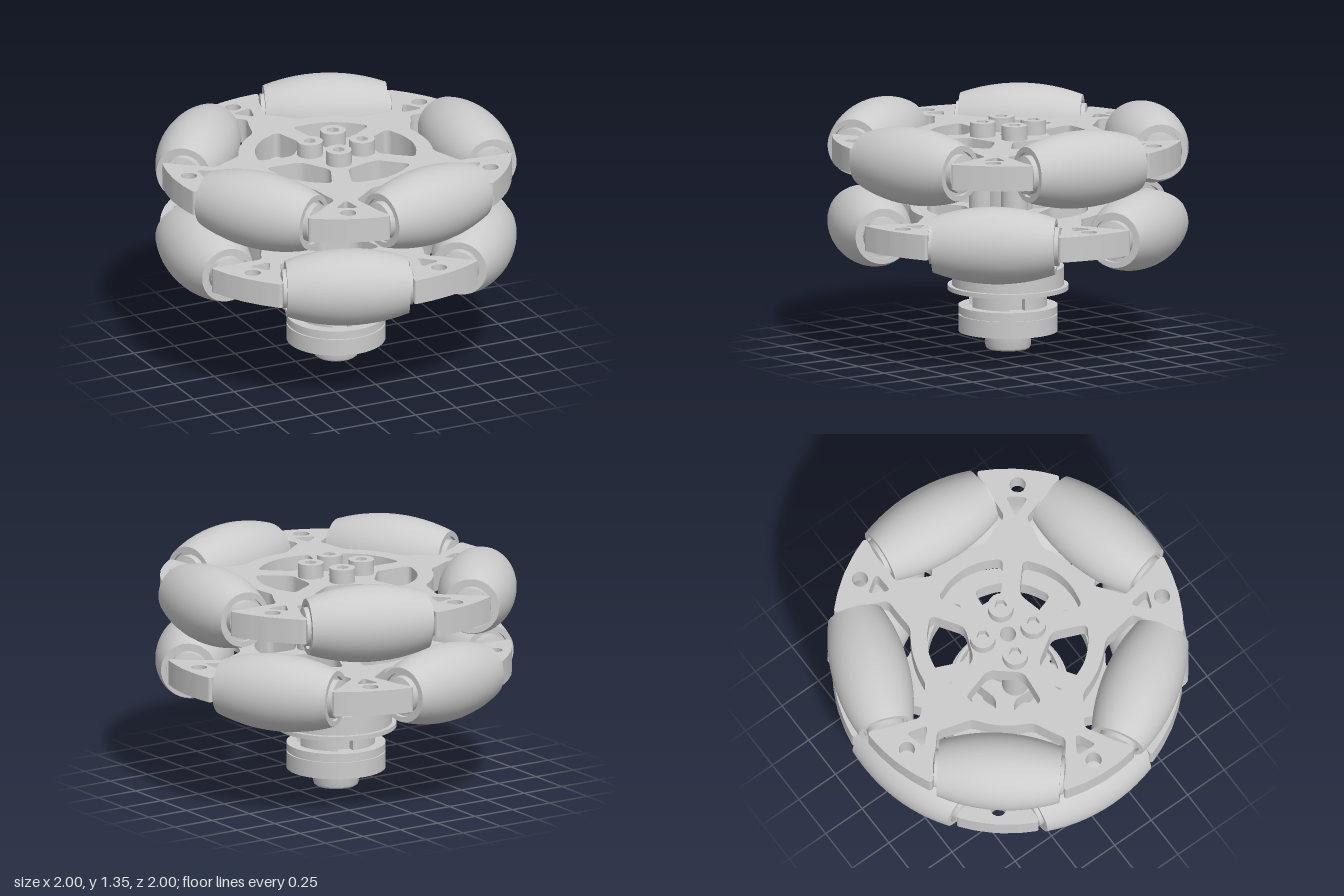
import * as THREE from 'three';
import { toCreasedNormals } from 'three/addons/utils/BufferGeometryUtils.js';

const grey = new THREE.MeshStandardMaterial({ color: 0xcccccc });
const RAD = Math.PI / 180;
const STEP = 72 * RAD;
const V = (x, y) => new THREE.Vector2(x, y);
const polar = (r, a) => V(r * Math.cos(a), r * Math.sin(a));

function add(parent, name, geometry, x = 0, y = 0, z = 0) {
  const mesh = new THREE.Mesh(geometry, grey);
  mesh.name = name;
  mesh.position.set(x, y, z);
  parent.add(mesh);
  return mesh;
}

const turned = (pts, segs = 48) =>
  toCreasedNormals(new THREE.LatheGeometry(pts.map(p => V(p[0], p[1])), segs), 0.5);

// Closed path through points with rounded corners
function rounded(path, pts, radius) {
  const n = pts.length;
  pts.forEach((p, i) => {
    const prev = pts[(i + n - 1) % n], next = pts[(i + 1) % n];
    const toward = q => {
      const d = q.clone().sub(p);
      return p.clone().addScaledVector(d, Math.min(radius / d.length(), 0.45));
    };
    const a = toward(prev), b = toward(next);
    if (i === 0) path.moveTo(a.x, a.y); else path.lineTo(a.x, a.y);
    path.quadraticCurveTo(p.x, p.y, b.x, b.y);
  });
  path.closePath();
  return path;
}

function circleHole(x, y, r) {
  const p = new THREE.Path();
  p.absarc(x, y, r, 0, Math.PI * 2, true);
  return p;
}

// Extrude a plan shape vertically, centred on y = 0
function slab(shape, height) {
  const g = new THREE.ExtrudeGeometry(shape, { depth: height, bevelEnabled: false, curveSegments: 8 });
  g.rotateX(Math.PI / 2);
  g.translate(0, height / 2, 0);
  return toCreasedNormals(g, 0.5);
}

// Five-armed frame with flared roller supports, ring and open spokes
function frameGeometry() {
  const half = [[0.515, 0.165], [0.62, 0.105], [0.69, 0.06], [0.945, 0.238], [0.967, 0.12]];
  const arm = [...half.map(([x, y]) => [x, -y]), [0.975, 0], ...half.slice().reverse()];
  const windowPts = [[0.22, -0.1], [0.39, -0.215], [0.44, -0.1], [0.455, 0],
    [0.44, 0.1], [0.39, 0.215], [0.22, 0.1]];
  const turn = (list, a) => list.map(([x, y]) => V(x, y).rotateAround(V(0, 0), a));
  const outline = [], holes = [circleHole(0, 0, 0.045)];
  for (let k = 0; k < 5; k++) {
    const a = k * STEP;
    outline.push(...turn(arm, a));
    for (let d = 24; d <= 48; d += 6) outline.push(polar(0.54, a + d * RAD));
    holes.push(rounded(new THREE.Path(), turn(windowPts, a + STEP / 2), 0.04));
    holes.push(rounded(new THREE.Path(), turn([[0.81, -0.065], [0.81, 0.065], [0.695, 0]], a), 0.035));
    const c = polar(0.88, a);
    holes.push(circleHole(c.x, c.y, 0.045));
  }
  const shape = rounded(new THREE.Shape(), outline, 0.03);
  shape.holes = holes;
  return slab(shape, 0.14);
}

// Barrel whose side follows the unit circle of the wheel, with recessed ends
function rollerGeometry() {
  const L = 0.34, pts = [[0.03, -L + 0.02], [0.125, -L + 0.02], [0.125, -L]];
  for (let i = 0; i <= 12; i++) {
    const t = -L + (2 * L * i) / 12;
    pts.push([0.215 - (1 - Math.sqrt(1 - t * t)), t]);
  }
  pts.push([0.125, L], [0.125, L - 0.02], [0.03, L - 0.02]);
  return turned(pts, 40);
}

// Hexagon-socket cap head
function screwHead() {
  const s = new THREE.Shape();
  s.absarc(0, 0, 0.072, 0, Math.PI * 2);
  const hex = [];
  for (let i = 0; i < 6; i++) hex.push(polar(0.036, -i * 60 * RAD));
  s.holes.push(new THREE.Path(hex));
  return slab(s, 0.08);
}

// Lower hub sleeve with four grooves for the screw shafts
function sleeveGeometry(angles) {
  const s = new THREE.Shape(), pts = [];
  angles.forEach(a => {
    const c = polar(0.155, a);
    for (let i = 0; i <= 8; i++) pts.push(c.clone().add(polar(0.04, a - (100 + i * 20) * RAD)));
    for (let d = 22; d <= 68; d += 7.5) pts.push(polar(0.18, a + d * RAD));
  });
  s.setFromPoints(pts);
  s.holes.push(circleHole(0, 0, 0.045));
  return slab(s, 0.2);
}

export function createModel() {
  const model = new THREE.Group();
  model.name = 'omniWheel';
  const frame = frameGeometry(), roller = rollerGeometry();
  const bush = turned([[0.03, -0.375], [0.108, -0.36], [0.108, -0.315], [0.03, -0.315]], 28);

  // Two staggered roller wheels
  [['upperWheel', 1.13, 39.7], ['lowerWheel', 0.72, 3.7]].forEach(([name, y, deg]) => {
    const wheel = new THREE.Group();
    wheel.name = name;
    wheel.position.y = y;
    wheel.rotation.y = -deg * RAD;
    model.add(wheel);
    add(wheel, 'frame', frame);
    for (let k = 0; k < 5; k++) {
      const unit = new THREE.Group();
      unit.name = 'rollerUnit';
      unit.rotation.y = -(k + 0.5) * STEP;
      wheel.add(unit);
      add(unit, 'roller', roller, 0.785).rotation.x = Math.PI / 2;
      add(unit, 'axle', new THREE.CylinderGeometry(0.035, 0.035, 0.78, 16), 0.785).rotation.x = Math.PI / 2;
      [1, -1].forEach(s => {
        add(unit, 'bush', bush, 0.785).rotation.x = s * Math.PI / 2;
      });
    }
  });

  // Four clamping screws and lobed spacer between the wheels
  const angles = [0, 1, 2, 3].map(i => (-70 + i * 90) * RAD);
  const head = screwHead();
  angles.forEach(a => {
    const p = polar(0.145, a);
    add(model, 'screwHead', head, p.x, 1.24, p.y);
    add(model, 'screwSocketFloor', new THREE.CylinderGeometry(0.04, 0.04, 0.02, 12), p.x, 1.21, p.y);
    add(model, 'screwShaft', new THREE.CylinderGeometry(0.03, 0.03, 0.7, 16), p.x, 0.85, p.y);
    add(model, 'spacerLobe', new THREE.CylinderGeometry(0.075, 0.075, 0.28, 24), p.x, 0.925, p.y);
  });
  const tube = (ro, ri, y0, y1) =>
    turned([[ri, y0], [ro, y0], [ro, y1], [ri, y1], [ri, y0]]);
  add(model, 'spacerCore', tube(0.14, 0.045, 0.785, 1.065));
  add(model, 'hubSleeve', sleeveGeometry(angles), 0, 0.56, 0);

  // Flanged ball bearing
  add(model, 'bearingOuterRace', turned([[0.285, 0.335], [0.335, 0.335], [0.335, 0.36], [0.31, 0.36],
    [0.31, 0.465], [0.305, 0.47], [0.285, 0.47], [0.285, 0.335]], 64));
  add(model, 'bearingInnerRace', tube(0.235, 0.045, 0.335, 0.47));
  const ball = new THREE.SphereGeometry(0.03, 14, 10);
  for (let i = 0; i < 24; i++) {
    const p = polar(0.26, i * 15 * RAD);
    add(model, 'bearingBall', ball, p.x, 0.4, p.y);
  }

  // Shaft neck with raised ribs
  add(model, 'neck', tube(0.175, 0.045, 0.24, 0.34));
  for (let i = 0; i < 4; i++) {
    const wedge = new THREE.Shape();
    const a = angles[i];
    wedge.absarc(0, 0, 0.217, a + 0.2, a + 1.37);
    wedge.absarc(0, 0, 0.16, a + 1.37, a + 0.2, true);
    add(model, 'neckRib', slab(wedge, 0.1), 0, 0.29, 0);
  }

  // Mounting disc with four holes
  const disc = new THREE.Shape();
  disc.absarc(0, 0, 0.275, 0, Math.PI * 2);
  disc.holes.push(circleHole(0, 0, 0.08));
  angles.forEach(a => {
    const p = polar(0.205, a);
    disc.holes.push(circleHole(p.x, p.y, 0.024));
  });
  const discGeo = new THREE.ExtrudeGeometry(disc, { depth: 0.095, bevelEnabled: false, curveSegments: 32 });
  discGeo.rotateX(Math.PI / 2);
  add(model, 'mountingDisc', toCreasedNormals(discGeo, 0.5), 0, 0.195, 0);
  add(model, 'discGroove', tube(0.265, 0.045, 0.19, 0.205));
  add(model, 'upperDisc', tube(0.275, 0.045, 0.203, 0.245));

  // Hollow bottom boss
  add(model, 'boss', turned([[0.08, 0.2], [0.08, 0.015], [0.09, 0], [0.112, 0], [0.122, 0.008],
    [0.126, 0.02], [0.13, 0.085], [0.14, 0.1]]));
  return model;
}
